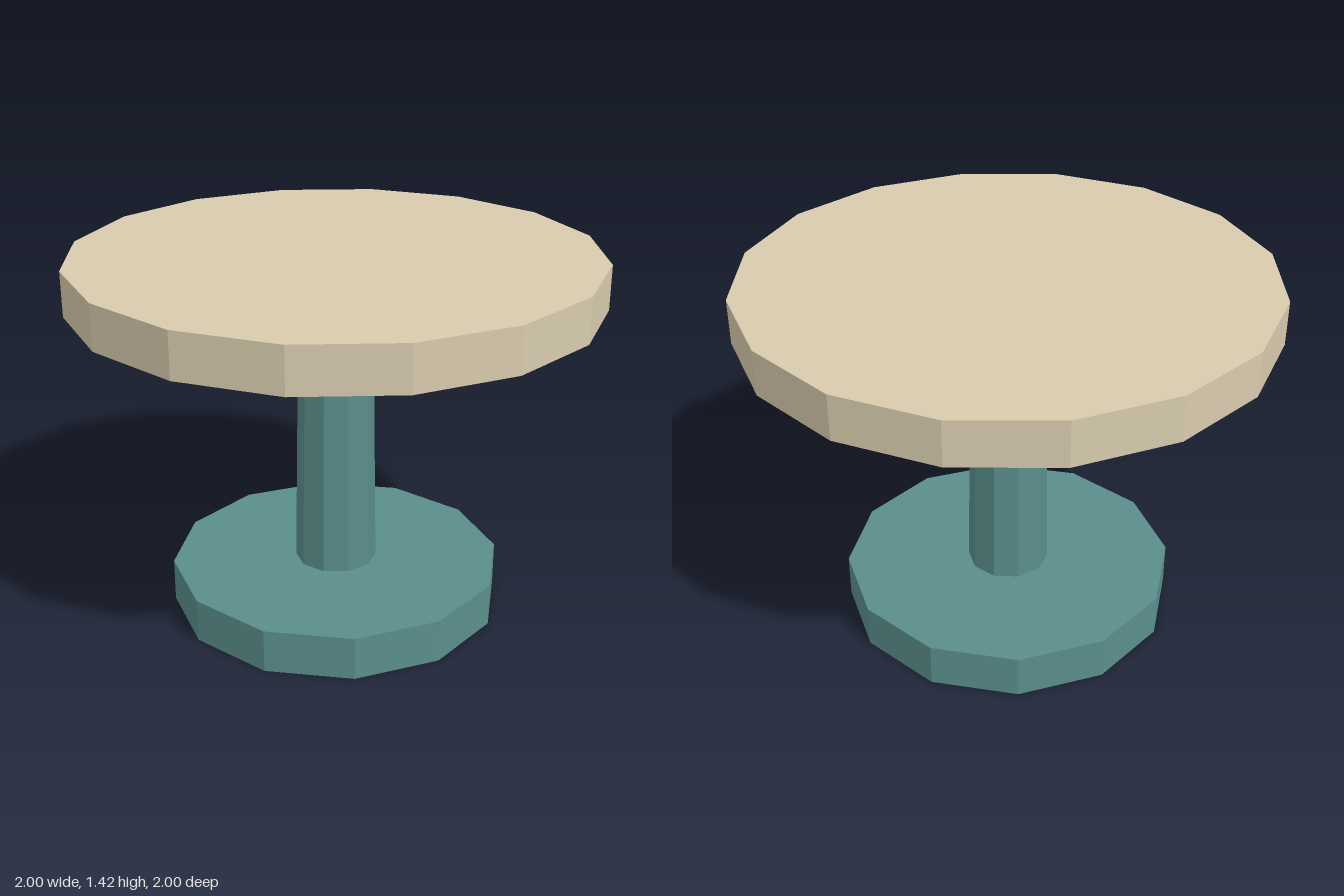
import * as THREE from 'three';

export function createModel() {
  const model = new THREE.Group();
  model.name = 'pedestalTable';

  const tan = new THREE.MeshStandardMaterial({ color: 0xd8cbae });
  tan.name = 'tan';
  const teal = new THREE.MeshStandardMaterial({ color: 0x5a8e8b });
  teal.name = 'teal';
  tan.flatShading = teal.flatShading = true;

  // Faceted disc or column standing between two heights
  const addRound = (name, topRadius, bottomRadius, y0, y1, sides, material) => {
    const geometry = new THREE.CylinderGeometry(topRadius, bottomRadius, y1 - y0, sides);
    const mesh = new THREE.Mesh(geometry, material);
    mesh.name = name;
    mesh.position.y = (y0 + y1) / 2;
    model.add(mesh);
  };

  addRound('base', 0.65, 0.65, 0, 0.17, 12, teal);
  addRound('column', 0.14, 0.16, 0.17, 1.25, 10, teal);
  addRound('tableTop', 1, 1, 1.25, 1.42, 16, tan);

  return model;
}
